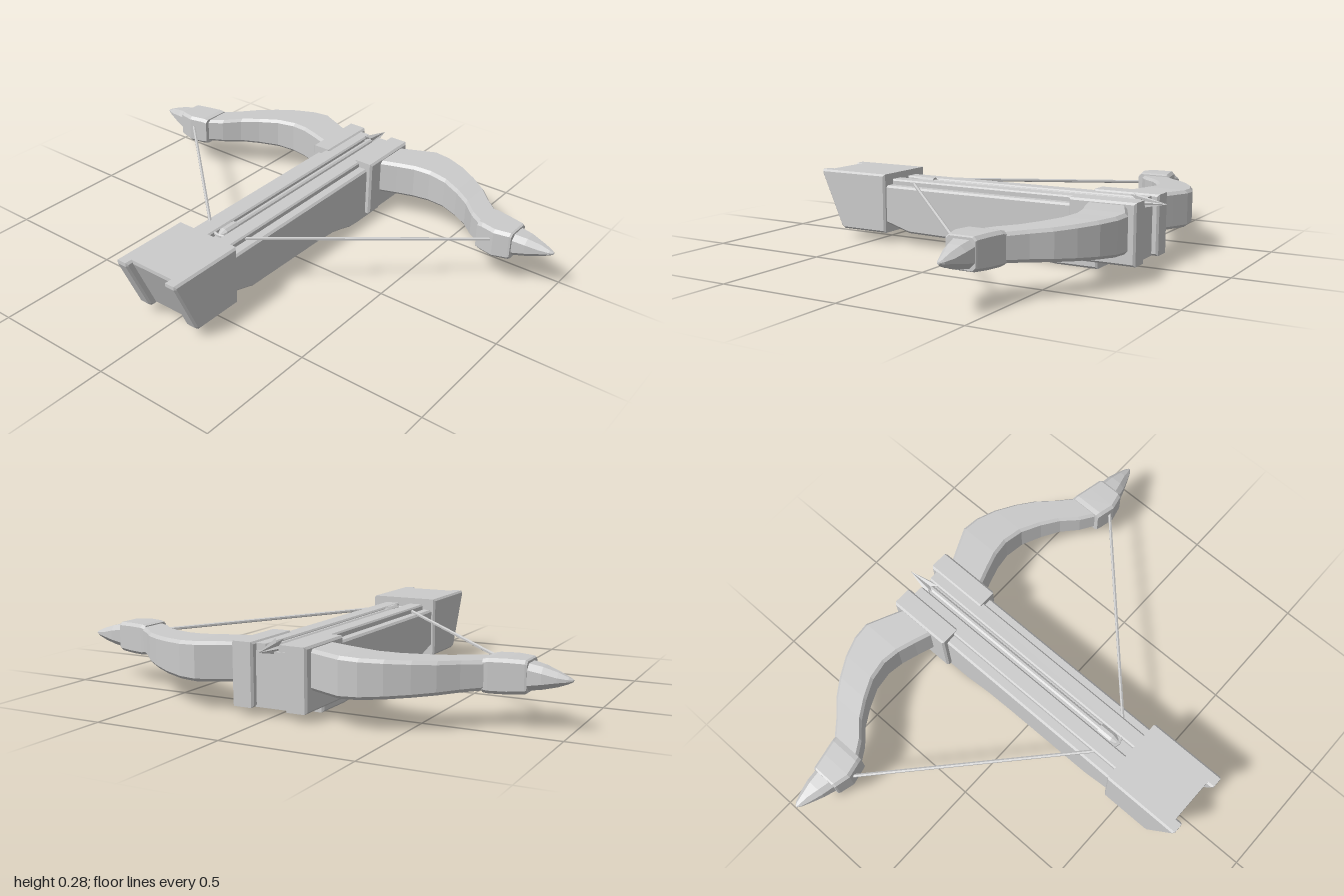
import * as THREE from 'three';

const grey = new THREE.MeshStandardMaterial({ color: 0xcccccc, flatShading: true });

function add(parent, name, geometry) {
  const mesh = new THREE.Mesh(geometry, grey);
  mesh.name = name;
  parent.add(mesh);
  return mesh;
}

// Side profile in x/y, given thickness from z0 to z1 with a small bevel kept inside the outline
function slab(points, z0, z1, bevel = 0.008) {
  const shape = new THREE.Shape(points.map(([x, y]) => new THREE.Vector2(x, y)));
  const geometry = new THREE.ExtrudeGeometry(shape, {
    depth: z1 - z0 - 2 * bevel, bevelEnabled: bevel > 0, bevelSize: bevel,
    bevelThickness: bevel, bevelOffset: -bevel, bevelSegments: 1,
  });
  return geometry.translate(0, 0, z0 + bevel);
}

const rect = (x0, x1, y0, y1) => [[x0, y0], [x1, y0], [x1, y1], [x0, y1]];

// Chamfered rectangles [z, x0, x1, y0, y1] joined along z; side -1 mirrors the result
function loft(sections, side, chamfer) {
  const pos = [], index = [], n = 8;
  const tri = (a, b, c) => (side > 0 ? index.push(a, b, c) : index.push(a, c, b));
  for (const [z, x0, x1, y0, y1] of sections) {
    const c = Math.min(chamfer, (x1 - x0) / 3, (y1 - y0) / 3);
    const ring = [[x0 + c, y0], [x1 - c, y0], [x1, y0 + c], [x1, y1 - c],
      [x1 - c, y1], [x0 + c, y1], [x0, y1 - c], [x0, y0 + c]];
    for (const [x, y] of ring) pos.push(x, y, z * side);
  }
  const last = (sections.length - 1) * n;
  for (let i = 0; i < last; i += n) {
    for (let j = 0; j < n; j++) {
      const k = (j + 1) % n;
      tri(i + j, i + k, i + n + k);
      tri(i + j, i + n + k, i + n + j);
    }
  }
  for (let j = 1; j < n - 1; j++) {
    tri(0, j + 1, j);
    tri(last, last + j, last + j + 1);
  }
  const geometry = new THREE.BufferGeometry();
  geometry.setAttribute('position', new THREE.Float32BufferAttribute(pos, 3));
  geometry.setIndex(index);
  geometry.computeVertexNormals();
  return geometry;
}

// Shoulder end with a groove down its slanted back
function buildButt() {
  const butt = new THREE.Group();
  butt.name = 'butt';
  const profile = (inset) => [[-0.43, 0.04], [-0.645 + inset, 0.04], [-0.66 + inset, 0.052],
    [-0.757 + inset, 0.27], [-0.757 + inset, 0.285], [-0.43, 0.285]];
  add(butt, 'buttCore', slab(profile(0.03), -0.1, 0.1, 0));
  add(butt, 'buttLeftSide', slab(profile(0), 0.09, 0.145));
  add(butt, 'buttRightSide', slab(profile(0), -0.145, -0.09));
  return butt;
}

// Long body, raised rails beside the bolt channel, and the block holding the bow
function buildStock() {
  const stock = new THREE.Group();
  stock.name = 'stock';
  add(stock, 'body', slab([[-0.45, 0.085], [-0.43, 0.08], [-0.32, 0.048], [0.08, 0.042], [0.2, 0.034],
    [0.26, 0.02], [0.32, 0.003], [0.36, 0], [0.53, 0], [0.53, 0.238], [-0.45, 0.238]], -0.13, 0.13));
  add(stock, 'frontCore', slab(rect(0.425, 0.665, 0.03, 0.235), -0.1, 0.1, 0));
  for (const side of [1, -1]) {
    const z = (a, b) => (side > 0 ? [a, b] : [-b, -a]);
    add(stock, 'rail', slab(rect(-0.43, 0.66, 0.2, 0.26), ...z(0.022, 0.09), 0.006));
    add(stock, 'frontCheek', slab(rect(0.42, 0.69, 0.03, 0.266), ...z(0.065, 0.152)));
  }
  return stock;
}

// One curved arm with its end cap and pointed tip
function buildLimb(side) {
  const limb = new THREE.Group();
  limb.name = side > 0 ? 'leftLimb' : 'rightLimb';
  add(limb, 'limbArm', loft([
    [0.1, 0.48, 0.63, 0.108, 0.255],
    [0.15, 0.49, 0.655, 0.108, 0.255],
    [0.22, 0.515, 0.688, 0.108, 0.255],
    [0.29, 0.537, 0.72, 0.108, 0.255],
    [0.36, 0.546, 0.714, 0.11, 0.252],
    [0.44, 0.532, 0.685, 0.115, 0.249],
    [0.52, 0.493, 0.64, 0.12, 0.245],
    [0.59, 0.448, 0.59, 0.125, 0.241],
    [0.65, 0.39, 0.53, 0.129, 0.238],
    [0.72, 0.345, 0.47, 0.132, 0.235],
  ], side, 0.012));
  add(limb, 'limbCap', loft([
    [0.705, 0.337, 0.478, 0.125, 0.24],
    [0.725, 0.332, 0.475, 0.122, 0.244],
    [0.785, 0.318, 0.462, 0.122, 0.244],
    [0.845, 0.332, 0.45, 0.126, 0.242],
    [0.852, 0.335, 0.447, 0.13, 0.238],
  ], side, 0.012));
  add(limb, 'limbTip', loft([
    [0.84, 0.342, 0.446, 0.135, 0.232],
    [0.9, 0.358, 0.443, 0.145, 0.222],
    [0.95, 0.377, 0.433, 0.157, 0.207],
    [0.985, 0.392, 0.421, 0.17, 0.193],
    [1.0, 0.402, 0.411, 0.178, 0.186],
  ], side, 0.02));
  return limb;
}

// Drawn string running from cap to cap behind the bolt
function buildString() {
  const path = new THREE.CurvePath();
  const half = [[0.335, 0.195, 0.78], [-0.33, 0.247, 0.075], [-0.362, 0.25, 0.035], [-0.37, 0.25, 0]];
  const points = [...half, ...half.slice(0, 3).reverse().map(([x, y, z]) => [x, y, -z])]
    .map((p) => new THREE.Vector3(...p));
  for (let i = 1; i < points.length; i++) path.add(new THREE.LineCurve3(points[i - 1], points[i]));
  return new THREE.TubeGeometry(path, 80, 0.007, 6);
}

// Bolt with thick nock and a ribbed, barbed head
function buildBolt() {
  const bolt = new THREE.Group();
  bolt.name = 'bolt';
  const rod = (x0, x1, r0, r1) => new THREE.CylinderGeometry(r1, r0, x1 - x0, 10)
    .rotateZ(-Math.PI / 2).translate((x0 + x1) / 2, 0, 0);
  add(bolt, 'shaft', rod(-0.34, 0.64, 0.014, 0.014));
  add(bolt, 'nock', rod(-0.34, -0.275, 0.022, 0.022));
  add(bolt, 'nockEnd', rod(-0.365, -0.34, 0.01, 0.022));

  const head = new THREE.ConeGeometry(0.033, 0.14, 12, 1);
  const p = head.attributes.position;
  for (let i = 0; i < p.count; i++) {
    const r = Math.hypot(p.getX(i), p.getZ(i));
    if (r < 0.001) {
      if (p.getY(i) < 0) p.setY(i, -0.04);
      continue;
    }
    const step = Math.round(Math.atan2(p.getX(i), p.getZ(i)) / (Math.PI / 6));
    if (step % 2) {
      p.setXYZ(i, p.getX(i) * 0.45, -0.045, p.getZ(i) * 0.45);
    }
  }
  add(bolt, 'head', head.rotateZ(-Math.PI / 2).translate(0.68, 0, 0));
  bolt.position.y = 0.245;
  return bolt;
}

export function createModel() {
  const model = new THREE.Group();
  model.name = 'crossbow';
  model.add(buildButt(), buildStock(), buildLimb(1), buildLimb(-1), buildBolt());
  add(model, 'bowString', buildString());
  return model;
}
